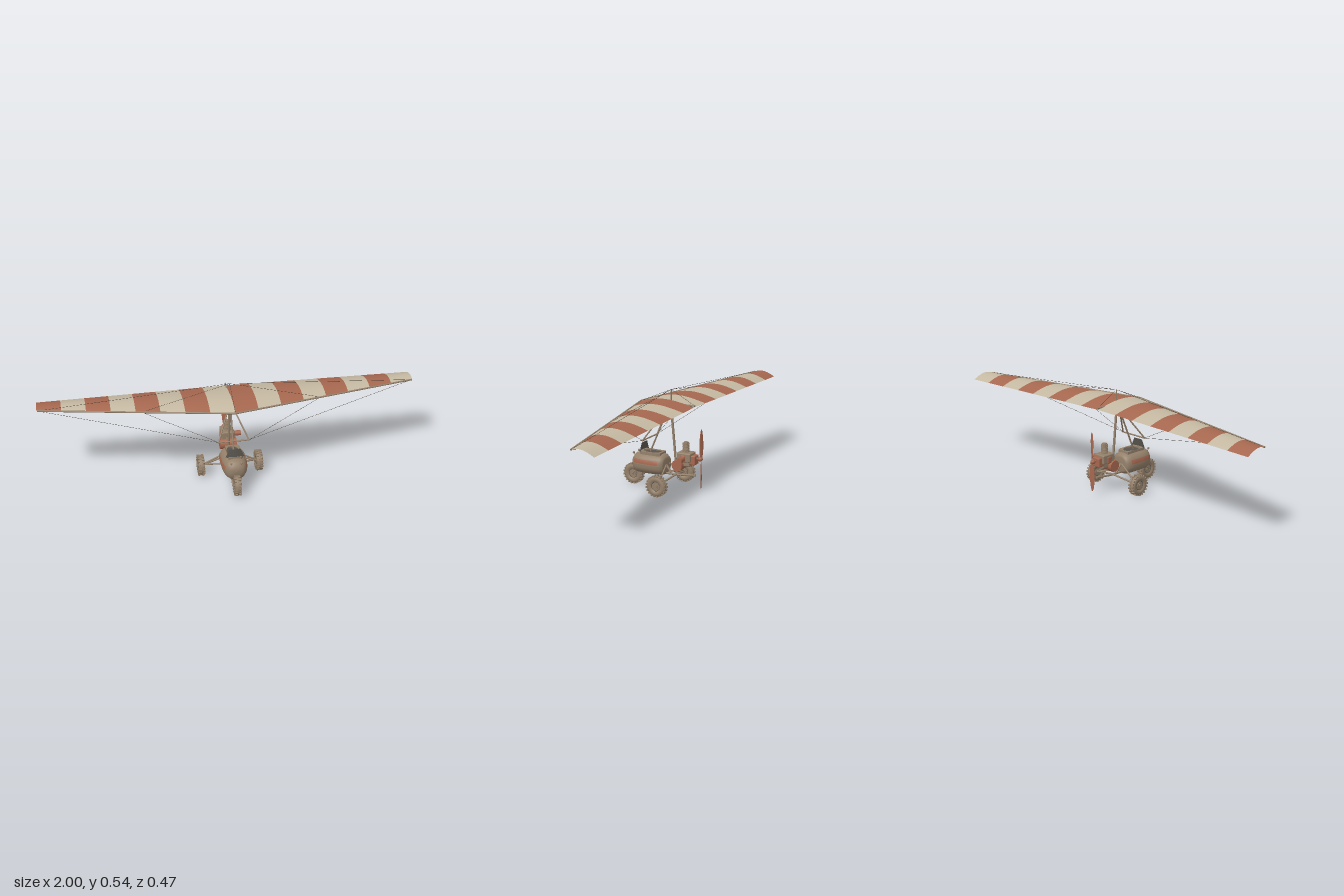
import * as THREE from 'three';
import { RoundedBoxGeometry } from 'three/addons/geometries/RoundedBoxGeometry.js';

const mat = (name, color, side = THREE.FrontSide) => {
  const m = new THREE.MeshStandardMaterial({ color, side });
  m.name = name;
  return m;
};
const V = (a) => new THREE.Vector3(...a);

export function createModel() {
  const root = new THREE.Group();
  root.name = 'microlightTrike';
  const tan = mat('tan', 0x94806a, THREE.DoubleSide);
  const rust = mat('rust', 0xa6674f, THREE.DoubleSide);
  const cream = mat('cream', 0xc4b8a1, THREE.DoubleSide);
  const dark = mat('darkGrey', 0x58544f, THREE.DoubleSide);
  const wire = mat('wire', 0x4c4238);

  const add = (name, geo, m, pos = [0, 0, 0], parent = root) => {
    const mesh = new THREE.Mesh(geo, m);
    mesh.name = name;
    mesh.position.set(...pos);
    parent.add(mesh);
    return mesh;
  };
  // Straight tube between two points
  const rod = (name, a, b, r, m = tan, sides = 10) => {
    const p = V(a), q = V(b), d = q.clone().sub(p);
    const mesh = add(name, new THREE.CylinderGeometry(r, r, d.length(), sides), m);
    mesh.position.copy(p).add(q).multiplyScalar(0.5);
    mesh.quaternion.setFromUnitVectors(new THREE.Vector3(0, 1, 0), d.normalize());
    return mesh;
  };
  const cable = (a, b) => rod('cable', a, b, 0.0008, wire, 5);
  // Surface grid from a point function of (u, v)
  const sheet = (fn, nu, nv) => {
    const pos = [], idx = [];
    for (let i = 0; i <= nu; i++) for (let j = 0; j <= nv; j++) pos.push(...fn(i / nu, j / nv));
    for (let i = 0; i < nu; i++) for (let j = 0; j < nv; j++) {
      const a = i * (nv + 1) + j, b = a + nv + 1;
      idx.push(a, b, a + 1, b, b + 1, a + 1);
    }
    const g = new THREE.BufferGeometry();
    g.setAttribute('position', new THREE.Float32BufferAttribute(pos, 3));
    g.setIndex(idx);
    g.computeVertexNormals();
    return g;
  };

  // Cambered wing sail in sixteen alternating stripes
  const wingPoint = (x, t) => {
    const s = Math.abs(x);
    const lead = 0.125 - 0.2 * s, trail = -0.182 - 0.016 * s;
    const camber = (0.024 - 0.012 * s) * Math.sin(Math.PI * Math.pow(t, 0.85));
    return [x, 0.463 - 0.003 * s + camber - (0.004 + 0.015 * s) * t * t, lead + (trail - lead) * t];
  };
  for (let k = 0; k < 16; k++) {
    const x0 = -1 + k / 8;
    add('sailStripe', sheet((u, v) => wingPoint(x0 + v / 8, u), 14, 2), k % 2 ? cream : rust);
  }

  // Wing frame, kingpost and rigging
  const kingTop = [0, 0.541, -0.048], nose = [0, 0.463, 0.13], tail = [0, 0.468, -0.187];
  rod('keelTube', nose, tail, 0.0045);
  rod('kingpost', [0, 0.465, -0.048], kingTop, 0.003);
  add('hangBracket', new RoundedBoxGeometry(0.016, 0.012, 0.03, 2, 0.003), tan, [0, 0.455, -0.02]);
  add('hangBlock', new THREE.BoxGeometry(0.014, 0.022, 0.02), tan, [0, 0.45, -0.046]);
  cable(kingTop, nose);
  cable(kingTop, tail);
  for (const s of [-1, 1]) {
    const tip = [s * 0.997, 0.46, -0.074], mid = [s * 0.47, 0.461, 0.032], bar = [s * 0.08, 0.268, 0.08];
    rod('leadingEdge', nose, tip, 0.0045);
    rod('crossSpar', [0, 0.457, -0.02], mid, 0.0035);
    rod('controlUpright', [0, 0.444, -0.03], bar, 0.004);
    for (const end of [tip, mid]) {
      cable(kingTop, end);
      cable(bar, end);
    }
  }
  rod('controlBar', [-0.083, 0.268, 0.08], [0.083, 0.268, 0.08], 0.004);
  rod('frontStrut', [0, 0.444, -0.033], [0, 0.19, 0.077], 0.0045);
  rod('mast', [0, 0.445, -0.048], [0, 0.1, -0.082], 0.0065);

  // Cockpit pod lofted from rounded sections: z, half width, bottom, top
  const sections = [
    [0.172, 0.002, 0.135, 0.138], [0.171, 0.025, 0.112, 0.152], [0.165, 0.04, 0.092, 0.165],
    [0.155, 0.05, 0.08, 0.178], [0.135, 0.061, 0.074, 0.188], [0.09, 0.067, 0.073, 0.189],
    [0.02, 0.067, 0.073, 0.189], [-0.005, 0.062, 0.074, 0.187], [-0.02, 0.052, 0.082, 0.176],
    [-0.023, 0.04, 0.092, 0.165], [-0.023, 0.001, 0.128, 0.13]];
  const pow = (c) => Math.sign(c) * Math.pow(Math.abs(c), 0.85);
  add('pod', sheet((u, v) => {
    const [z, w, b, t] = sections[Math.round(u * (sections.length - 1))];
    const a = -v * Math.PI * 2;
    return [w * pow(Math.cos(a)), (b + t) / 2 + (t - b) / 2 * pow(Math.sin(a)), z];
  }, sections.length - 1, 32), tan);
  // Painted side bands following the pod
  const podX = (y, z) => {
    const i = Math.max(0, sections.findIndex((q, n) => sections[n + 1] && sections[n + 1][0] <= z));
    const p = sections[i], q = sections[i + 1], f = (p[0] - z) / (p[0] - q[0]);
    const [w, b, t] = [1, 2, 3].map((n) => p[n] + (q[n] - p[n]) * f);
    const h = Math.min(1, Math.abs(y - (b + t) / 2) / ((t - b) / 2));
    return w * Math.pow(1 - Math.pow(h, 2 / 0.85), 0.425);
  };
  for (const s of [-1, 1]) {
    add('sideBand', sheet((u, v) => {
      const z = 0.145 - 0.144 * u, y = 0.136 + 0.022 * v;
      return [s * (podX(y, z) + 0.0025), y, z];
    }, 14, 4), rust);
  }
  // Cockpit rim, seat and windscreen
  const outline = (target, w, d) => {
    target.absellipse(0, 0, w, d, 0, Math.PI * 2);
    return target;
  };
  const rimShape = new THREE.Shape();
  rimShape.moveTo(-0.034, -0.061).lineTo(0.034, -0.061).lineTo(0.043, -0.045).lineTo(0.043, 0.045)
    .lineTo(0.034, 0.061).lineTo(-0.034, 0.061).closePath();
  rimShape.holes.push(outline(new THREE.Path(), 0.034, 0.052));
  const rim = add('cockpitRim', new THREE.ExtrudeGeometry(rimShape, { depth: 0.016, bevelEnabled: false, curveSegments: 20 }), tan, [0, 0.181, 0.062]);
  rim.rotation.x = -Math.PI / 2;
  add('seat', new RoundedBoxGeometry(0.062, 0.008, 0.09, 2, 0.003), dark, [0, 0.188, 0.06]);
  add('windscreen', sheet((u, v) => {
    const x = (v - 0.5) * (0.1 - 0.042 * u);
    return [x, 0.193 + 0.047 * u, 0.123 - 0.007 * u - 3.5 * x * x];
  }, 4, 10), dark);
  for (const s of [-1, 1]) {
    rod('lampStalk', [s * 0.028, 0.165, 0.155], [s * 0.028, 0.181, 0.163], 0.0015);
    add('lamp', new THREE.SphereGeometry(0.006, 12, 8), tan, [s * 0.028, 0.181, 0.163]);
  }

  // Wheels with knobbly tyres
  const wheel = (name, x, z) => {
    const g = new THREE.Group();
    g.name = name;
    g.position.set(x, 0.058, z);
    root.add(g);
    const profile = [[0.024, -0.011], [0.033, -0.017], [0.044, -0.017], [0.052, -0.012], [0.0545, 0],
      [0.052, 0.012], [0.044, 0.017], [0.033, 0.017], [0.024, 0.011]].map((p) => new THREE.Vector2(...p));
    add('tyre', new THREE.LatheGeometry(profile, 40), tan, [0, 0, 0], g).rotation.z = Math.PI / 2;
    const disc = (n, r, w) => {
      add(n, new THREE.CylinderGeometry(r, r, w, 24), tan, [0, 0, 0], g).rotation.z = Math.PI / 2;
    };
    disc('hub', 0.025, 0.02);
    disc('hubCap', 0.014, 0.026);
    disc('axleEnd', 0.008, 0.036);
    for (const s of [-1, 1]) {
      add('hubRing', new THREE.TorusGeometry(0.024, 0.0015, 6, 28), dark, [s * 0.011, 0, 0], g).rotation.y = Math.PI / 2;
      for (let i = 0; i < 20; i++) {
        const a = (i + (s > 0 ? 0.5 : 0)) / 20 * Math.PI * 2;
        const knob = add('treadKnob', new THREE.BoxGeometry(0.014, 0.007, 0.009), tan,
          [s * 0.0095, Math.cos(a) * 0.0535, Math.sin(a) * 0.0535], g);
        knob.rotation.x = a;
      }
    }
  };
  wheel('frontWheel', 0, 0.178);
  wheel('rightWheel', -0.158, -0.048);
  wheel('leftWheel', 0.158, -0.048);

  // Undercarriage
  for (const s of [-1, 1]) {
    rod('frontFork', [s * 0.022, 0.058, 0.178], [s * 0.024, 0.1, 0.135], 0.004);
    rod('axleStrut', [s * 0.145, 0.058, -0.048], [0, 0.088, -0.082], 0.005);
    rod('dragStrut', [s * 0.145, 0.06, -0.048], [s * 0.035, 0.085, 0.0], 0.0045);
    rod('shockStrut', [s * 0.145, 0.062, -0.048], [s * 0.02, 0.135, -0.03], 0.004);
  }
  rod('frontAxle', [-0.026, 0.058, 0.178], [0.026, 0.058, 0.178], 0.004);
  rod('keelBeam', [0, 0.085, 0.0], [0, 0.085, -0.1], 0.006);
  rod('tailBeam', [0, 0.085, -0.09], [0, 0.095, -0.195], 0.0055);
  rod('podBrace', [0, 0.135, -0.015], [0, 0.09, -0.05], 0.006);

  // Engine
  const box = (name, w, h, d, m, pos) => add(name, new RoundedBoxGeometry(w, h, d, 3, 0.006), m, pos);
  box('crankcase', 0.07, 0.048, 0.08, tan, [0, 0.192, -0.138]);
  box('engineBase', 0.05, 0.03, 0.08, tan, [0, 0.157, -0.13]);
  box('gearbox', 0.05, 0.05, 0.04, rust, [0, 0.18, -0.181]);
  box('carburettor', 0.078, 0.038, 0.027, rust, [0, 0.186, -0.136]);
  rod('engineMount', [0, 0.13, -0.08], [0, 0.185, -0.105], 0.012);
  rod('exhaustPipe', [0, 0.147, -0.12], [0, 0.147, -0.17], 0.008);
  rod('fanHousing', [-0.045, 0.147, -0.105], [0.045, 0.147, -0.105], 0.03, rust, 32);
  rod('airFilter', [0.035, 0.186, -0.136], [0.075, 0.186, -0.136], 0.014, rust, 20);
  rod('cylinder', [0, 0.21, -0.137], [0, 0.266, -0.137], 0.013, tan, 20);
  for (let i = 0; i < 6; i++) {
    add('coolingFin', new THREE.CylinderGeometry(0.018, 0.018, 0.005, 24), tan, [0, 0.22 + i * 0.0085, -0.137]);
  }
  add('cylinderHead', new THREE.CylinderGeometry(0.012, 0.013, 0.008, 20), tan, [0, 0.267, -0.137]);

  // Two-bladed twisted propeller
  rod('propShaft', [0, 0.188, -0.195], [0, 0.188, -0.225], 0.006);
  add('propHub', new THREE.SphereGeometry(0.013, 20, 14), rust, [0, 0.188, -0.22]).scale.z = 1.1;
  for (const s of [-1, 1]) {
    const blade = new THREE.SphereGeometry(1, 16, 20);
    const p = blade.attributes.position;
    for (let i = 0; i < p.count; i++) {
      const y = p.getY(i), a = 0.35 - 0.22 * y;
      const w = p.getX(i) * 0.014, d = p.getZ(i) * 0.003;
      p.setXYZ(i, w * Math.cos(a) - d * Math.sin(a), y * 0.08, w * Math.sin(a) + d * Math.cos(a));
    }
    blade.computeVertexNormals();
    const mesh = add('propBlade', blade, rust, [0, 0.188 + s * 0.08, -0.226]);
    if (s < 0) mesh.rotation.z = Math.PI;
  }
  return root;
}
